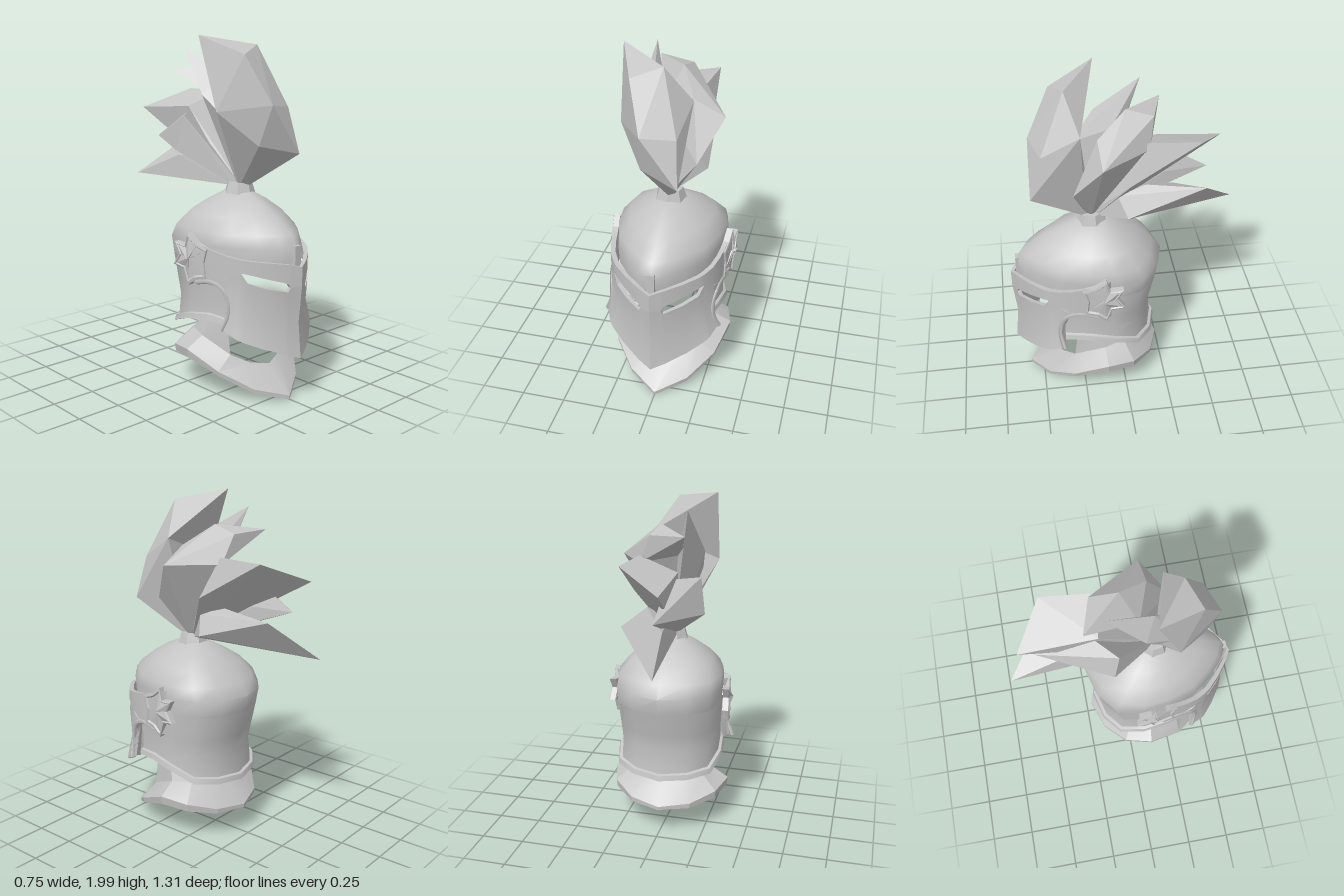
import * as THREE from 'three';
import { toCreasedNormals } from 'three/addons/utils/BufferGeometryUtils.js';
import { ConvexGeometry } from 'three/addons/geometries/ConvexGeometry.js';

const steel = new THREE.MeshStandardMaterial({ color: 0xc4c4c4 });
steel.name = 'grey';

// Skin a list of cross-sections; points run counter-clockwise about the direction of advance.
function loft(rings, { closed = true, caps = false, crease = 0.6 } = {}) {
  const pos = [];
  const tri = (a, b, c) => {
    if (new THREE.Triangle(a, b, c).getArea() > 1e-8) for (const p of [a, b, c]) pos.push(p.x, p.y, p.z);
  };
  const n = rings[0].length;
  for (let i = 0; i < rings.length - 1; i++) {
    const r = rings[i], s = rings[i + 1];
    for (let j = 0; j < (closed ? n : n - 1); j++) {
      const k = (j + 1) % n;
      tri(r[j], r[k], s[k]);
      tri(r[j], s[k], s[j]);
    }
  }
  if (caps) {
    const a = rings[0], b = rings[rings.length - 1];
    for (let j = 1; j < n - 1; j++) { tri(a[0], a[j + 1], a[j]); tri(b[0], b[j], b[j + 1]); }
  }
  const g = new THREE.BufferGeometry();
  g.setAttribute('position', new THREE.Float32BufferAttribute(pos, 3));
  return toCreasedNormals(g, crease);
}

const V = (x, y, z) => new THREE.Vector3(x, y, z);
// Half outline on +x from front to back, completed by its mirror image.
const mirrorRing = half => [...half, ...half.slice(1, -1).reverse().map(p => V(-p.x, p.y, p.z))];
const openRing = (ring, k) => ring.slice(k, ring.length - k + 1);

// Egg-shaped horizontal outline of the skull: [width share, share of the way back]
const EGG = [[0, 0], [.25, .05], [.5, .14], [.79, .28], [.95, .47], [1, .66], [.88, .84], [.52, .95], [0, 1]];
const LIP_Y = [.44, .44, .44, .44, .46, .435, .38, .365, .355];
const eggRing = (y, front, back, w) => mirrorRing(EGG.map(([u, s], i) =>
  V(u * w, typeof y === 'function' ? y(i) : y, front + (back - front) * s)));

// Visor surface: half width at a given depth, flaring towards the lower edge
const WIDTH = [[.655, 0], [.62, .068], [.55, .16], [.47, .245], [.37, .305], [.2, .335], [0, .355]];
function visorX(z, y) {
  let i = 0;
  while (i < WIDTH.length - 2 && z < WIDTH[i + 1][0]) i++;
  const [z0, x0] = WIDTH[i], [z1, x1] = WIDTH[i + 1];
  const x = x0 + (x1 - x0) * (z - z0) / (z1 - z0);
  const low = Math.max(0, .65 - y) / .2;
  return x * (1 + .1 * Math.min(1.5, low * low));
}

// Plate made of upright columns [z, bottom, top], running from one ear round the front to the other
function visorBand(cols) {
  const section = ([z, lo, hi], s) => {
    const outer = [0, .5, 1].map(t => {
      const y = lo + (hi - lo) * t;
      const dent = t === .5 && hi - lo > .2 && z > .4 ? .02 : 0;
      return V(s * visorX(z, y), y, z - dent);
    });
    return [...outer, ...outer.map(p => V(p.x * .93, p.y, p.z - .022)).reverse()];
  };
  const left = cols.map(c => section(c, 1)).reverse();
  const right = cols.slice(1).map(c => section(c, -1));
  return loft([...left, ...right], { caps: true, crease: .6 });
}

export function createModel() {
  const model = new THREE.Group();
  const add = (name, geometry, parent = model) => {
    const m = new THREE.Mesh(geometry, steel);
    m.name = name;
    parent.add(m);
    return m;
  };

  // Skull: a full dome above, open at the face below, with a lip turned in towards the neck
  const dome = [[.78, .61, -.215, .31], [.88, .62, -.235, .315], [.95, .58, -.185, .31], [1.03, .47, -.1, .245],
    [1.09, .37, -.01, .16], [1.14, .26, .08, .07], [1.145, .17, .17, 0]];
  add('skullDome', loft(dome.map(r => eggRing(...r)), { crease: .9 }));
  const lip = (dy, grow) => eggRing(i => LIP_Y[i] + dy, .6 + grow, -.19 - grow, .31 + grow);
  const shell = [lip(.05, -.1), lip(.03, -.05), lip(0, -.01), lip(0, .012), lip(.03, .005), lip(.035, -.012),
    eggRing(.54, .58, -.16, .295), eggRing(.63, .59, -.18, .3), eggRing(.78, .61, -.215, .31)];
  add('skullShell', loft(shell.map(r => openRing(r, 3)), { closed: false, crease: .7 }));
  const bar = add('browRidge', new THREE.BoxGeometry(.045, .13, .04));
  bar.position.set(0, .835, .603);

  // Visor in two bands with the eye slits between them
  const cols = [[.655, .275, .685, .685, .79], [.626, .30, .68, .68, .805], [.62, .305, .655, .702, .807],
    [.55, .345, .675, .73, .818], [.48, .385, .703, .755, .828], [.455, .40, .748, .76, .832],
    [.45, .402, .752, .752, .832], [.39, .44, .73, .73, .845]];
  const visor = new THREE.Group();
  visor.name = 'visor';
  model.add(visor);
  add('visorBrow', visorBand([...cols.map(c => [c[0], c[3], c[4]]),
    [.31, .68, .86], [.2, .675, .885], [.12, .66, .92]]), visor);
  add('visorFace', visorBand([...cols.map(c => [c[0], c[1], c[2]]),
    [.385, .58, .727], [.36, .645, .712], [.31, .68, .682]]), visor);

  // Raised rims and star-shaped hinges on both sides
  const star = [[.125, .94], [.105, .87], [.03, .88], [.065, .815], [.02, .75], [.095, .735], [.125, .645],
    [.18, .685], [.25, .70], [.24, .79], [.26, .865], [.19, .89]];
  for (const s of [1, -1]) {
    const side = s > 0 ? 'left' : 'right';
    const path = [[.44, .375], [.52, .392], [.6, .385], [.66, .355], [.685, .3], [.685, .24], [.67, .18]]
      .map(([y, z]) => V(s * (visorX(z, y) - .004), y, z));
    add(side + 'VisorRim', new THREE.TubeGeometry(new THREE.CatmullRomCurve3(path), 16, .015, 4), visor);
    const pts = s > 0 ? [...star].reverse() : star;
    const ring = (x, k) => pts.map(([z, y]) => V(s * (x + (.13 - z) * .12), .8 + (y - .8) * k, .14 + (z - .14) * k));
    add(side + 'HingeStar', loft([ring(.315, 0), ring(.315, 1), ring(.35, 1), ring(.354, .88), ring(.346, .8),
      ring(.36, 0)], { crease: .2 }), visor);
  }

  // Neck guard: flared collar, thick neck wall open at the throat, closed underneath
  const rim = mirrorRing([V(0, .035, .58), V(.17, .085, .47), V(.3, .18, .32), V(.355, .27, .12),
    V(.31, .25, -.04), V(.18, .21, -.16), V(0, .195, -.22)]);
  const drop = [.022, .025, .03, .05, .045, .03, .02];
  const under = rim.map((p, i) => V(p.x * .98, p.y - drop[Math.min(i, 12 - i)], p.z));
  const neck = mirrorRing([V(0, .18, .42), V(.11, .2, .38), V(.2, .25, .31), V(.25, .33, .13),
    V(.21, .34, .01), V(.12, .33, -.06), V(0, .325, -.08)]);
  const top = mirrorRing([V(0, .46, .28), V(.1, .46, .28), V(.2, .46, .28), V(.215, .47, .17),
    V(.18, .47, .1), V(.1, .47, .075), V(0, .47, .07)]);
  const inward = ring => ring.map(p => V(p.x * .88, p.y, .15 + (p.z - .15) * .9));
  add('neckCollar', loft([under.map(() => V(0, .15, .15)), under, rim, neck], { crease: .35 }));
  const wall = [neck, top, inward(top), inward(neck)];
  add('neckWall', loft(wall.map(r => openRing(r, 2)), { closed: false, crease: .5 }));
  for (const s of [1, -1]) {
    const i = s > 0 ? 2 : 10;
    const a = [neck[i], top[i]], b = [inward(neck)[i], inward(top)[i]];
    add(s > 0 ? 'leftThroatEdge' : 'rightThroatEdge', loft(s > 0 ? [b, a] : [a, b], { closed: false }));
  }

  // Plume socket
  const socket = add('plumeSocket', toCreasedNormals(new THREE.CylinderGeometry(.07, .09, .065, 7), .3));
  socket.position.set(0, 1.158, .17);

  // Feathers: faceted hulls through a few corners, most of them growing from the socket
  const plume = new THREE.Group();
  plume.name = 'plume';
  model.add(plume);
  const root = z => [[.03, 1.17, z], [-.03, 1.17, z], [0, 1.17, z + .03], [0, 1.17, z - .03]];
  const frontMid = [[.14, 1.75, .23], [-.25, 1.6, .25], [-.08, 1.64, .5], [.1, 1.62, .44]];
  const sideMid = [[.29, 1.63, .13], [-.07, 1.65, .07], [.12, 1.64, -.14], [.12, 1.72, .14]];
  const feathers = {
    frontFeatherBase: [...root(.2), ...frontMid, [.12, 1.37, .51], [-.1, 1.42, .42]],
    frontFeatherTip: [...frontMid, [0, 1.95, .3], [-.16, 1.9, .37], [-.26, 2, .12]],
    innerFeather: [...root(.19), [-.2, 1.68, .08], [-.1, 1.78, .14], [-.05, 1.68, .05], [-.04, 1.62, .27],
      [-.15, 1.52, .27], [-.145, 1.93, -.12]],
    sideFeatherBase: [...root(.17), ...sideMid, [.17, 1.41, .28]],
    sideFeatherTip: [...sideMid, [.03, 1.84, -.02], [.05, 1.8, -.17], [-.155, 1.81, -.23]],
    upperBackFeather: [...root(.15), [.12, 1.68, -.13], [.15, 1.68, -.42], [0, 1.55, -.38], [-.1, 1.6, -.15],
      [.18, 1.45, -.03], [.02, 1.42, -.08], [-.1, 1.57, -.575]],
    middleBackFeather: [...root(.15), [-.24, 1.36, -.09], [-.21, 1.56, -.06], [-.06, 1.57, -.2],
      [-.02, 1.4, -.25], [-.05, 1.4, -.495]],
    lowerBackFeather: [...root(.14), [.17, 1.23, -.02], [.1, 1.34, .03], [-.02, 1.3, 0], [.08, 1.39, -.13],
      [.13, 1.37, -.46], [.05, 1.23, -.26], [-.05, 1.3, -.3], [-.09, 1.155, -.655]],
  };
  for (const [name, corners] of Object.entries(feathers))
    add(name, new ConvexGeometry(corners.map(c => V(...c))), plume);
  return model;
}
